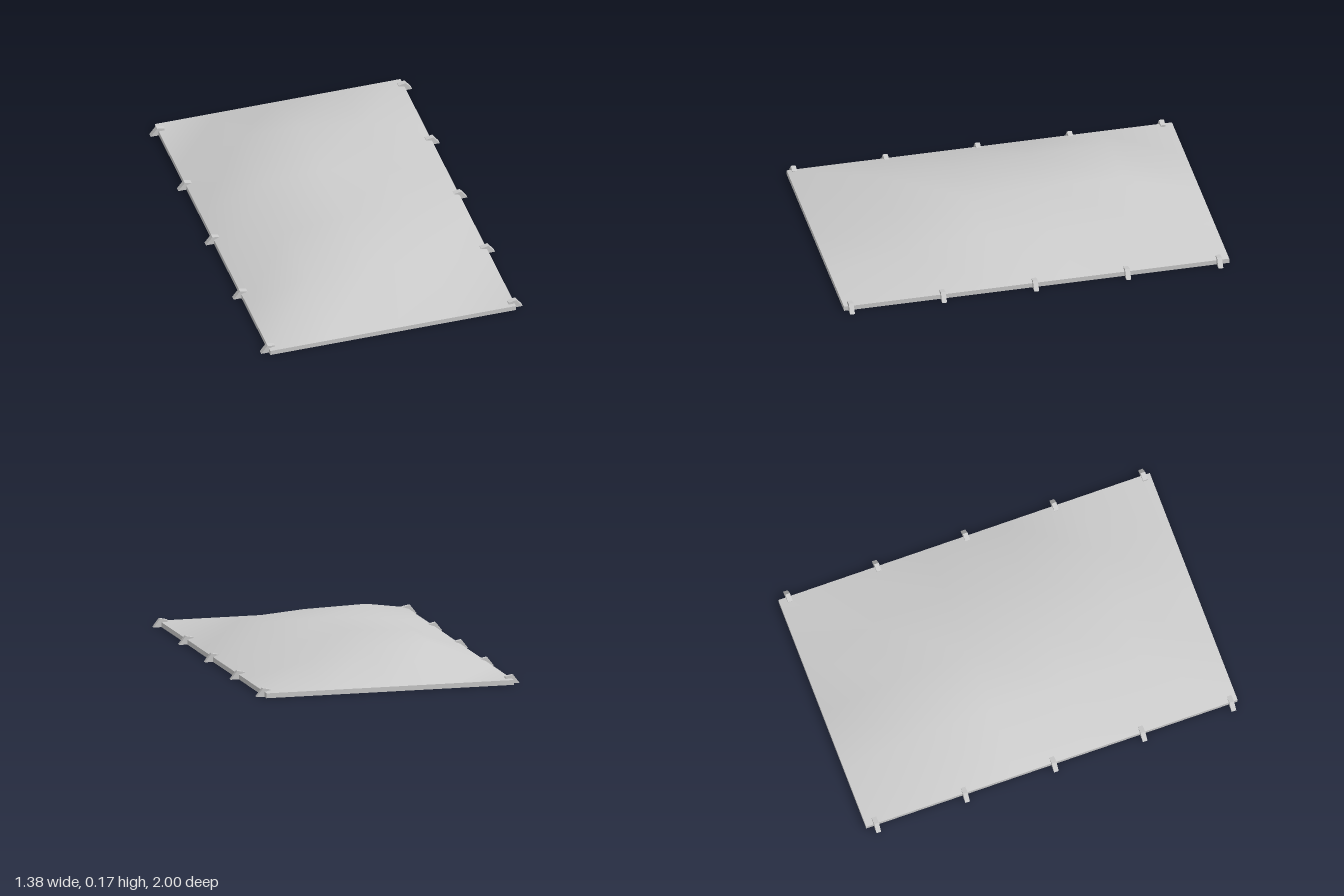
import * as THREE from 'three';

const W = 1.3, L = 2, RIM = 0.025;

export function createModel() {
  const model = new THREE.Group();
  const mat = new THREE.MeshStandardMaterial({ color: 0xcccccc, side: THREE.DoubleSide });
  const add = (geo, name, parent = model) => {
    const mesh = new THREE.Mesh(geo, mat);
    mesh.name = name;
    parent.add(mesh);
    return mesh;
  };

  // Bulging sheet: uneven inner heights, back row to front row
  const heights = [
    [0.16, 0.155, 0.10],
    [0.155, 0.165, 0.105],
    [0.135, 0.16, 0.15],
    [0.135, 0.125, 0.098],
  ];
  const sheet = new THREE.PlaneGeometry(W, L, 4, 5).rotateX(-Math.PI / 2);
  const p = sheet.attributes.position;
  for (let i = 0; i < p.count; i++) {
    const row = Math.floor(i / 5) - 1, col = (i % 5) - 1;
    p.setY(i, heights[row]?.[col] ?? RIM);
  }
  sheet.computeVertexNormals();
  add(sheet, 'coverSheet');

  // Vertical skirt around the edge
  const skirt = new THREE.Group();
  skirt.name = 'skirt';
  model.add(skirt);
  for (let i = 0; i < 4; i++) {
    const [len, dist] = i % 2 ? [L, W / 2] : [W, L / 2];
    const side = new THREE.PlaneGeometry(len, RIM).translate(0, RIM / 2, dist);
    add(side.rotateY(i * Math.PI / 2), 'skirtSide', skirt);
  }

  // Flat underside border with a rectangular opening
  const rect = (path, x, y) => path.moveTo(-x, -y).lineTo(x, -y).lineTo(x, y).lineTo(-x, y).closePath();
  const border = new THREE.Shape();
  rect(border, W / 2, L / 2);
  border.holes.push(rect(new THREE.Path(), 0.315, 0.603));
  add(new THREE.ShapeGeometry(border).rotateX(Math.PI / 2), 'undersideBorder');

  // Hooked clips along both long edges
  const profile = new THREE.Shape([
    [0.645, 0], [0.692, 0], [0.658, 0.044], [0.618, 0.036], [0.618, 0.025], [0.645, 0.025],
  ].map(([x, y]) => new THREE.Vector2(x, y)));
  const clip = new THREE.ExtrudeGeometry(profile, { depth: 0.025, bevelEnabled: false }).translate(0, 0, -0.0125);
  for (const side of [0, 1]) {
    for (let i = 0; i < 5; i++) {
      const mesh = add(clip, side ? 'rightClip' : 'leftClip');
      mesh.rotation.y = side * Math.PI;
      mesh.position.z = -0.947 + i * 0.478;
    }
  }
  return model;
}
